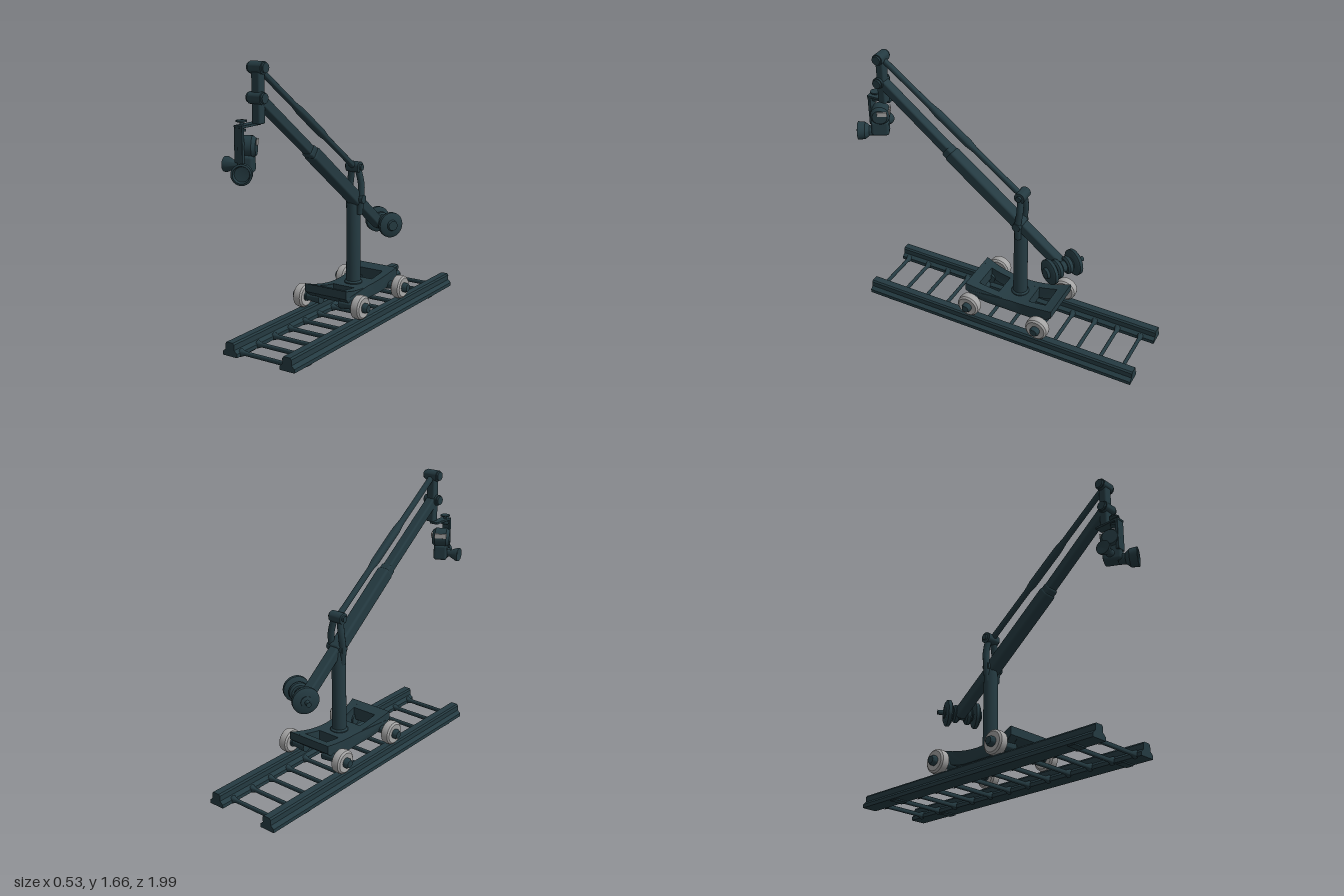
import * as THREE from 'three';
import { toCreasedNormals } from 'three/addons/utils/BufferGeometryUtils.js';
import { RoundedBoxGeometry } from 'three/addons/geometries/RoundedBoxGeometry.js';

export function createModel() {
  const model = new THREE.Group();
  const dark = new THREE.MeshStandardMaterial({ color: 0x243a41 });
  dark.name = 'dark painted metal';
  const grey = new THREE.MeshStandardMaterial({ color: 0xa3a3a3 });
  grey.name = 'light grey rubber';
  const V = (x, y, z) => new THREE.Vector3(x, y, z);

  const add = (name, geo, pos = [0, 0, 0], parent = model, mat = dark) => {
    const m = new THREE.Mesh(geo, mat);
    m.name = name;
    m.position.set(...pos);
    parent.add(m);
    return m;
  };
  const box = (name, size, pos, parent, mat) =>
    add(name, new RoundedBoxGeometry(...size, 2, Math.min(...size) * 0.2), pos, parent, mat);
  // lathe around a chosen direction; profile is [radius, distance along axis]
  const turned = (name, pts, pos, dir, parent = model, mat = dark) => {
    const g = new THREE.LatheGeometry(pts.map(p => new THREE.Vector2(...p)), 24);
    const m = add(name, toCreasedNormals(g, 0.6), pos, parent, mat);
    m.quaternion.setFromUnitVectors(V(0, 1, 0), dir.clone().normalize());
    return m;
  };
  const rod = (name, a, b, r0, r1 = r0) => {
    const d = b.clone().sub(a), l = d.length();
    return turned(name, [[0, 0], [r0, 0], [r1, l], [0, l]], a.toArray(), d);
  };
  const X = V(1, 0, 0), Y = V(0, 1, 0);

  // Track: two rails of stepped section
  const half = [[0.05, 0.008], [0.05, 0.03], [0.03, 0.048], [0.03, 0.08], [0.022, 0.09]];
  const section = new THREE.Shape([...half, ...half.slice().reverse().map(([x, y]) => [-x, y])]
    .map(p => new THREE.Vector2(...p)));
  for (const s of [-1, 1]) {
    add('rail', new THREE.ExtrudeGeometry(section, { depth: 1.82, bevelEnabled: false }), [s * 0.197, 0, -1]);
    for (const z of [-0.72, 0.67]) box('railFoot', [0.09, 0.012, 0.05], [s * 0.197, 0.006, z]);
  }
  // Rungs with flared ends
  for (let i = 0; i < 12; i++) {
    turned('rung', [[0.026, -0.155], [0.014, -0.125], [0.014, 0.125], [0.026, 0.155]],
      [0, 0.025, -0.91 + i * 0.153], X).scale.z = 0.8;
  }

  // Dolly deck: slices of one sagging side profile, waisted in the middle
  const zMid = -0.135, zHalf = 0.295;
  const deckPart = (name, x0, x1, t0, t1) => {
    const top = [], bottom = [];
    for (let i = 0; i <= 12; i++) {
      const t = t0 + (t1 - t0) * i / 12, z = zMid + zHalf * t;
      top.push(new THREE.Vector2(-z, 0.218 + 0.048 * t * t));
      bottom.unshift(new THREE.Vector2(-z, 0.14 + 0.075 * t ** 4));
    }
    const g = new THREE.ExtrudeGeometry(new THREE.Shape([...top, ...bottom]),
      { depth: x1 - x0, bevelEnabled: false });
    g.rotateY(Math.PI / 2).translate(x0, 0, 0);
    const p = g.attributes.position;
    for (let i = 0; i < p.count; i++) {
      const t = (p.getZ(i) - zMid) / zHalf;
      p.setX(i, p.getX(i) * (0.8 + 0.2 * t * t));
    }
    add(name, toCreasedNormals(g, 0.5));
  };
  deckPart('deckSideBeam', -0.148, -0.09, -1, 1);
  deckPart('deckSideBeam', 0.09, 0.148, -1, 1);
  deckPart('deckEndBeam', -0.09, 0.09, -1, -0.78);
  deckPart('deckEndBeam', -0.09, 0.09, 0.78, 1);
  deckPart('deckCentrePlate', -0.09, 0.09, -0.38, 0.32);

  // Wheels with axle arms and hubs
  for (const z of [0.1, -0.37]) for (const s of [-1, 1]) {
    const dir = V(s, 0, 0);
    turned('wheel', [[0.028, -0.028], [0.06, -0.031], [0.071, -0.022], [0.074, 0], [0.071, 0.022], [0.06, 0.031],
      [0.028, 0.028]], [s * 0.207, 0.165, z], dir, model, grey);
    turned('wheelHub', [[0, -0.04], [0.03, -0.04], [0.03, 0.045], [0.022, 0.06], [0, 0.06]],
      [s * 0.207, 0.165, z], dir);
    rod('axleArm', V(s * 0.07, 0.165, z), V(s * 0.18, 0.165, z), 0.032, 0.022);
  }

  // Mast, fork and top pivot
  turned('mast', [[0, 0.14], [0.055, 0.14], [0.055, 0.225], [0.045, 0.235], [0.042, 0.7], [0.036, 0.74], [0, 0.74]],
    [0, 0, -0.15], Y);
  for (const x of [-0.034, 0.052]) {
    const c = new THREE.CatmullRomCurve3([V(x * 0.8, 0.66, -0.15), V(x, 0.76, -0.152),
      V(x * 0.9, 0.85, -0.162), V(x * 0.5, 0.94, -0.157)]);
    add('mastFork', new THREE.TubeGeometry(c, 12, 0.021, 10));
  }
  rod('boomPivot', V(-0.045, 0.755, -0.15), V(0.075, 0.755, -0.15), 0.026);
  rod('mastHead', V(-0.042, 0.95, -0.155), V(0.045, 0.95, -0.155), 0.034);
  rod('mastHeadPin', V(-0.055, 0.95, -0.155), V(0.06, 0.95, -0.155), 0.018);

  // Boom: thick rear sleeve, slim front section
  const boomPart = (name, a, b, w) => {
    const m = box(name, [w, w, a.distanceTo(b)], a.clone().add(b).multiplyScalar(0.5).toArray());
    m.lookAt(b);
  };
  boomPart('boomRear', V(0.012, 0.53, -0.44), V(0.012, 0.76, -0.14), 0.066);
  boomPart('boomSleeve', V(0.012, 0.74, -0.165), V(0.012, 1.11, 0.315), 0.08);
  boomPart('boomCollar', V(0.01, 1.09, 0.29), V(0.01, 1.13, 0.343), 0.07);
  boomPart('boomFront', V(0.008, 1.1, 0.3), V(0.0, 1.465, 0.775), 0.06);

  // Levelling rod parallel to the boom
  const a = V(0.005, 0.945, -0.155), b = V(0, 1.625, 0.775);
  const rl = a.distanceTo(b);
  turned('levellingRod', [[0.018, 0], [0.018, rl * 0.33], [0.025, rl * 0.38], [0.025, rl * 0.6],
    [0.018, rl * 0.66], [0.018, rl]], a.toArray(), b.clone().sub(a));

  // Boom tip with two pivot heads
  box('tipPost', [0.056, 0.31, 0.052], [0, 1.485, 0.775]);
  for (const [y, z] of [[1.625, 0.775], [1.468, 0.785]]) {
    rod('tipPivot', V(-0.042, y, z), V(0.042, y, z), 0.034);
    for (const s of [-1, 1]) rod('tipPivotCap', V(s * 0.035, y, z), V(s * 0.055, y, z), 0.027);
  }

  // Camera bracket and clamp knob
  box('bracketArm', [0.055, 0.014, 0.16], [-0.035, 1.328, 0.825]);
  box('bracketDrop', [0.055, 0.2, 0.02], [-0.037, 1.235, 0.893]);
  turned('clampKnob', [[0, -0.03], [0.024, -0.03], [0.024, -0.02], [0.01, -0.014], [0.01, 0.016],
    [0.03, 0.02], [0.03, 0.028], [0, 0.03]], [-0.042, 1.33, 0.865], Y);

  // Camera, turned slightly to its left
  const cam = new THREE.Group();
  cam.name = 'camera';
  cam.position.set(-0.035, 0, 0.84);
  cam.rotation.y = 0.48;
  model.add(cam);
  box('cameraBody', [0.085, 0.1, 0.11], [0, 1.125, 0], cam);
  turned('filmMagazine', [[0, -0.055], [0.045, -0.055], [0.06, -0.035], [0.06, 0.035], [0.045, 0.055], [0, 0.055]],
    [0, 1.215, -0.005], X, cam);
  box('cameraNeck', [0.06, 0.08, 0.06], [0, 1.17, 0], cam);
  turned('lensHood', [[0, 0], [0.03, 0], [0.032, 0.04], [0.053, 0.065], [0.057, 0.11], [0.046, 0.113], [0.04, 0.095],
    [0, 0.09]], [0.0, 1.092, 0.03], V(0, 0, 1), cam);
  turned('eyepiece', [[0, 0], [0.025, 0], [0.022, 0.04], [0.042, 0.085], [0.042, 0.1], [0.03, 0.1], [0, 0.09]],
    [-0.025, 1.115, -0.005], V(-0.95, 0, -0.3), cam);
  box('cameraLabelPlate', [0.009, 0.03, 0.06], [0.056, 1.238, -0.02], cam, grey);
  box('cameraRearPlate', [0.075, 0.03, 0.009], [0, 1.238, -0.062], cam, grey);

  // Counterweights on a skewed bar
  const bar = V(0.86, 0, 0.5);
  const weights = new THREE.Group();
  weights.name = 'counterweights';
  weights.position.set(0.04, 0.548, -0.445);
  model.add(weights);
  turned('weightBar', [[0, -0.15], [0.015, -0.15], [0.015, -0.115], [0.035, -0.11], [0.035, 0.11],
    [0.03, 0.125], [0, 0.125]], [0, 0, 0], bar, weights);
  for (const [d, r] of [[-0.085, 0.082], [-0.035, 0.055], [0.04, 0.06], [0.09, 0.08]]) {
    turned('weightDisc', [[0, -0.02], [r * 0.8, -0.02], [r, -0.01], [r, 0.01], [r * 0.8, 0.02], [0, 0.02]],
      bar.clone().multiplyScalar(d).toArray(), bar, weights);
  }
  return model;
}
